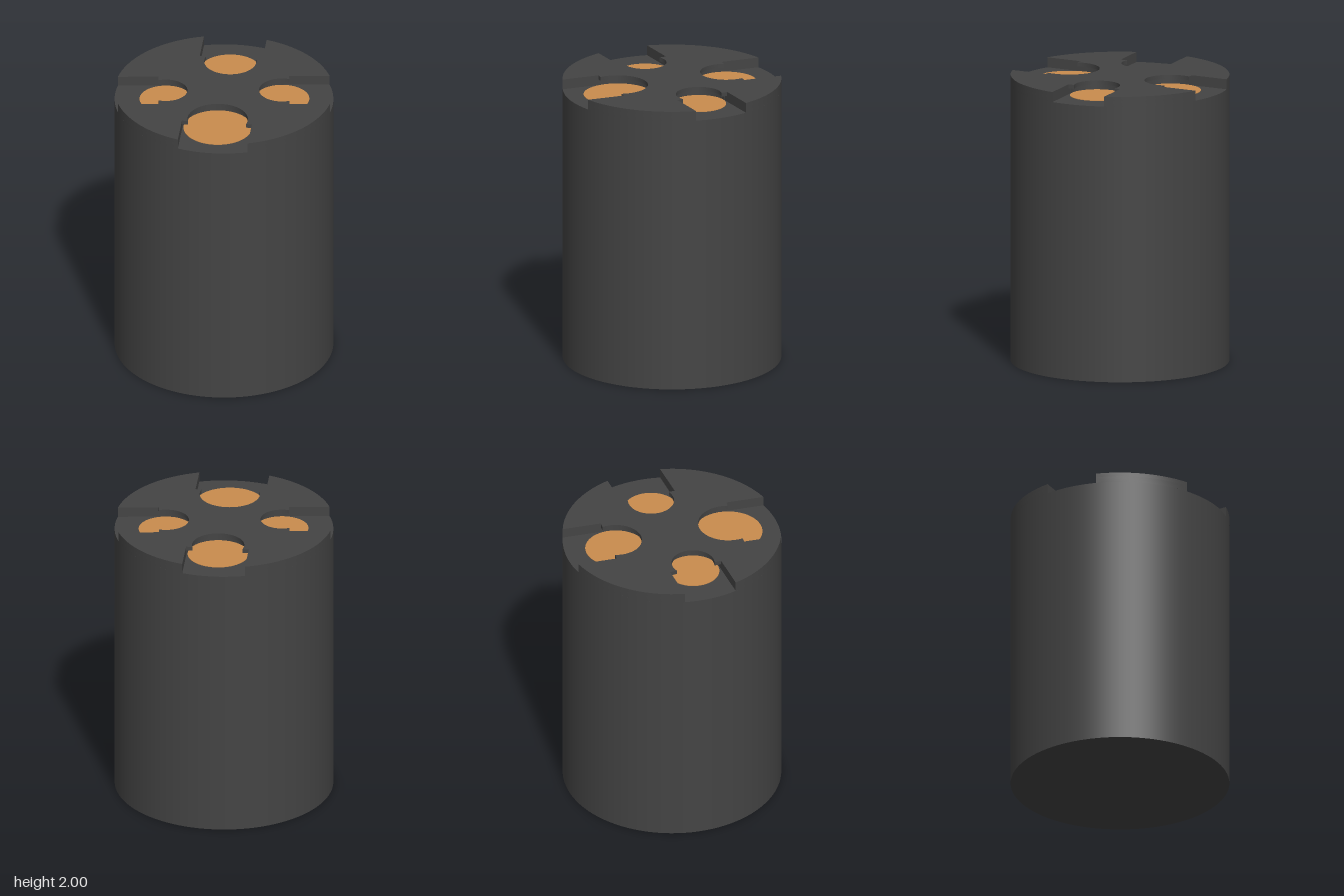
import * as THREE from 'three';
import { toCreasedNormals } from 'three/addons/utils/BufferGeometryUtils.js';

const RADIUS = 0.75, FLOOR = 1.93, LIP = 1.972, TOP = 2;
const CX = 0.297, CY = 0.265, DIST = Math.hypot(CX, CY);

// Pockets in counter-clockwise order (plan x, plan y = -z): disc radius and lip opening radius
const pockets = [
  { x: CX, y: CY, disc: 0.213, open: 0.179 },
  { x: -CX, y: CY, disc: 0.184, open: 0.147 },
  { x: -CX, y: -CY, disc: 0.238, open: 0.207 },
  { x: CX, y: -CY, disc: 0.19, open: 0.158 },
];

// Round plan with four pockets that open outward through the rim
function slottedPlan(withLip) {
  const pts = [];
  const rimArc = (from, to) => {
    const n = Math.max(2, Math.ceil((to - from) / 0.065));
    for (let i = 1; i < n; i++) {
      const t = from + (to - from) * i / n;
      pts.push(new THREE.Vector2(RADIUS * Math.cos(t), RADIUS * Math.sin(t)));
    }
  };
  const angles = pockets.map(p => {
    const t = Math.atan2(p.y, p.x);
    return t < 0 ? t + Math.PI * 2 : t;
  });
  pockets.forEach((p, i) => {
    const phi = angles[i], c = Math.cos(phi), s = Math.sin(phi);
    // a runs outward along the slot, b across it
    const add = (a, b) => pts.push(new THREE.Vector2(p.x + a * c - b * s, p.y + a * s + b * c));
    const w = p.disc + 0.003;
    const rim = Math.sqrt(RADIUS * RADIUS - w * w) - DIST;
    const r = withLip ? p.open : p.disc;
    const start = withLip ? 0.05 : 0.01;
    const t0 = Math.acos(start / r);
    add(rim, -w);
    add(start, -w);
    for (let k = 0; k <= 36; k++) {
      const t = -t0 - (Math.PI * 2 - 2 * t0) * k / 36;
      add(r * Math.cos(t), r * Math.sin(t));
    }
    add(start, w);
    add(rim, w);
    // rim up to the next slot
    const next = pockets[(i + 1) % 4];
    const nextPhi = angles[(i + 1) % 4] + (i === 3 ? Math.PI * 2 : 0);
    rimArc(phi + Math.asin(w / RADIUS), nextPhi - Math.asin((next.disc + 0.003) / RADIUS));
  });
  return new THREE.Shape(pts);
}

export function createModel() {
  const model = new THREE.Group();
  const grey = new THREE.MeshStandardMaterial({ color: 0x444444 });
  grey.name = 'dark grey';
  const copper = new THREE.MeshStandardMaterial({ color: 0xc98c4e });
  copper.name = 'copper';

  const add = (name, geometry, material) => {
    const mesh = new THREE.Mesh(geometry, material);
    mesh.name = name;
    model.add(mesh);
    return mesh;
  };

  // Solid body up to the slot floor
  add('body', new THREE.CylinderGeometry(RADIUS, RADIUS, FLOOR, 96).translate(0, FLOOR / 2, 0), grey);

  // Slot walls, then the retaining lip over them
  const layer = (name, withLip, y0, y1) => {
    const g = new THREE.ExtrudeGeometry(slottedPlan(withLip), { depth: y1 - y0, bevelEnabled: false });
    g.rotateX(-Math.PI / 2).translate(0, y0, 0);
    add(name, toCreasedNormals(g, 0.4), grey);
  };
  layer('slotWalls', false, FLOOR, LIP);
  layer('retainingLip', true, LIP, TOP);

  // Discs lying in the pockets
  pockets.forEach((p, i) => {
    const g = new THREE.CylinderGeometry(p.disc - 0.003, p.disc - 0.003, 0.03, 64);
    add('disc' + (i + 1), g, copper).position.set(p.x, FLOOR - 0.012, -p.y);
  });

  return model;
}
